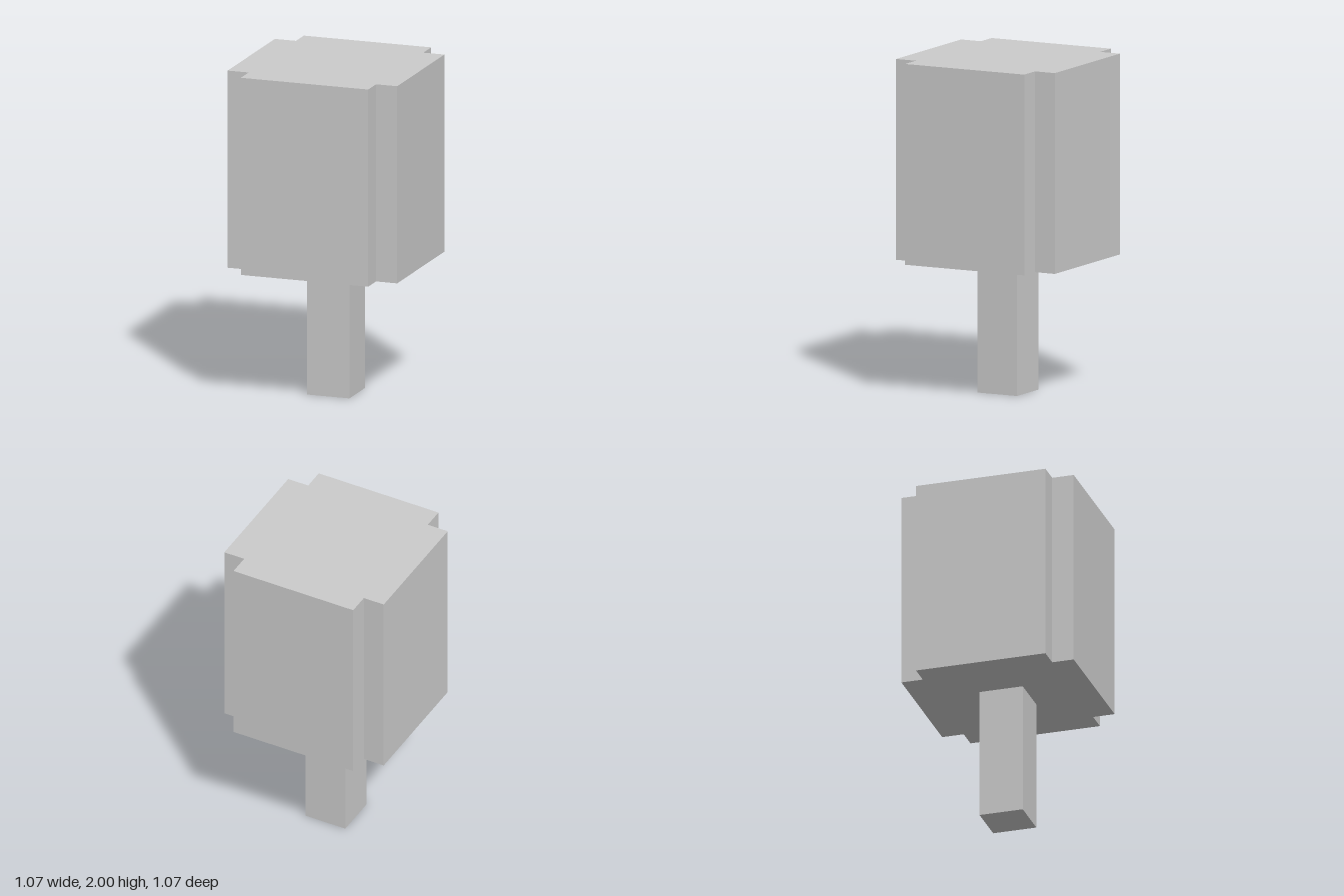
import * as THREE from 'three';

const TRUNK_WIDTH = 0.267;
const TRUNK_HEIGHT = 0.8;
const CANOPY_HEIGHT = 1.2;
const OUTER = 0.533; // half width of the canopy
const INNER = 0.4;   // half width of each canopy face, inside the corner notches

export function createModel() {
  const model = new THREE.Group();
  model.name = 'blockTree';
  const material = new THREE.MeshStandardMaterial({ color: 0xcccccc, flatShading: true });

  // Square trunk standing on the ground
  const trunk = new THREE.Mesh(new THREE.BoxGeometry(TRUNK_WIDTH, TRUNK_HEIGHT, TRUNK_WIDTH), material);
  trunk.name = 'trunk';
  trunk.position.y = TRUNK_HEIGHT / 2;
  model.add(trunk);

  // Canopy outline: a square with a notch in each corner, one quarter turned four times
  const outline = [];
  for (let i = 0; i < 4; i++) {
    for (const [x, y] of [[OUTER, INNER], [INNER, INNER], [INNER, OUTER]]) {
      outline.push(new THREE.Vector2(x, y).rotateAround(new THREE.Vector2(), i * Math.PI / 2));
    }
  }
  const canopyGeometry = new THREE.ExtrudeGeometry(new THREE.Shape(outline), {
    depth: CANOPY_HEIGHT,
    bevelEnabled: false,
  });
  canopyGeometry.rotateX(-Math.PI / 2);
  const canopy = new THREE.Mesh(canopyGeometry, material);
  canopy.name = 'canopy';
  canopy.position.y = TRUNK_HEIGHT;
  model.add(canopy);

  return model;
}
